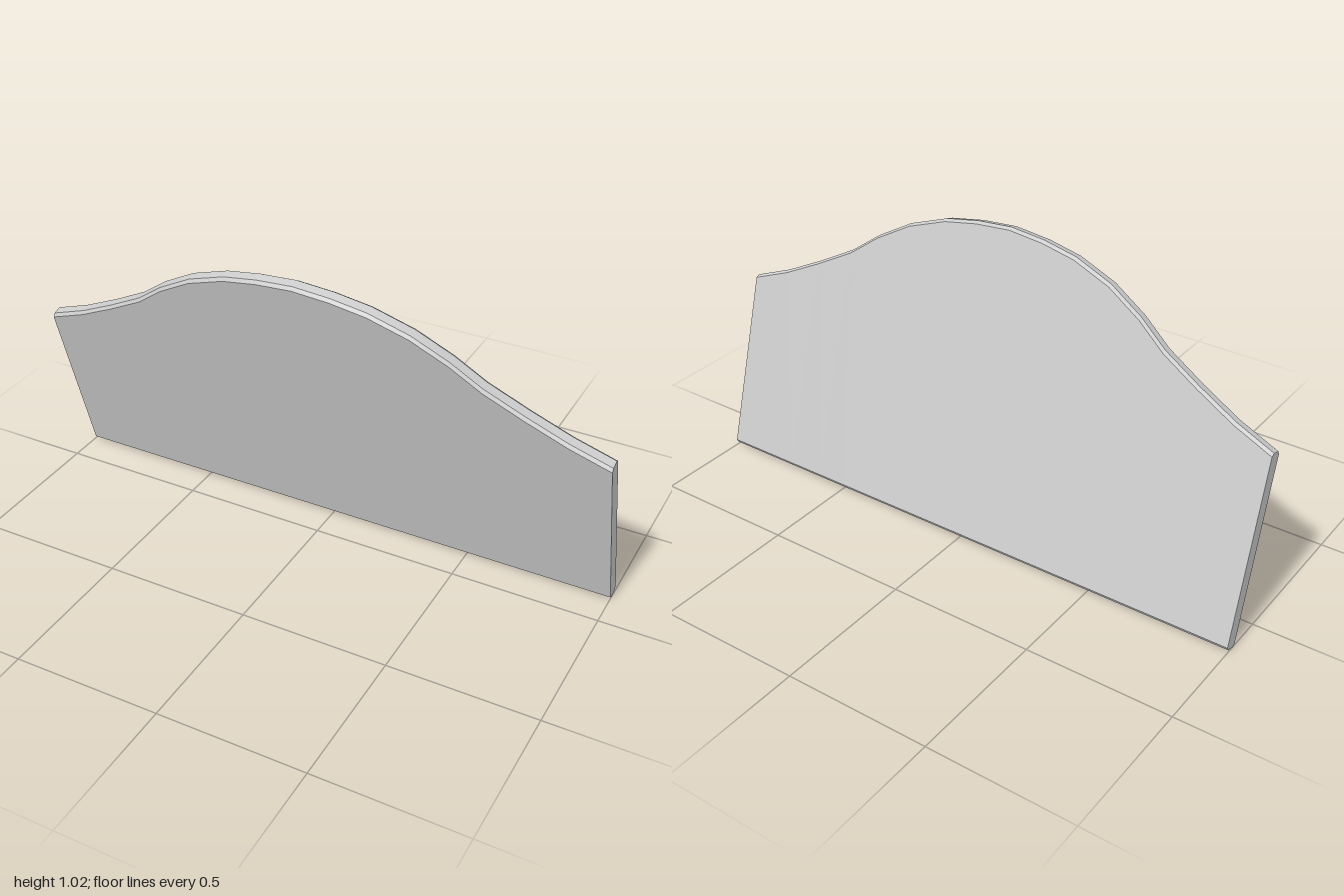
import * as THREE from 'three';
import { toCreasedNormals } from 'three/addons/utils/BufferGeometryUtils.js';

const TILT = Math.atan(0.29);   // forward lean of the slab
const HALF = 0.025;             // half thickness
const CHAMFER = 0.01;

// right half of the crest line: [x, height]
const CREST = [
  [0, 1.02], [0.125, 1.01], [0.245, 0.989], [0.38, 0.942], [0.5, 0.875],
  [0.6, 0.802], [0.73, 0.733], [0.865, 0.668], [1, 0.617],
];

// chamfered cross-section at x, in the plane of the untilted slab
function section(x, height) {
  const top = (height - 0.008) / Math.cos(TILT);
  const c = CHAMFER, h = HALF;
  return [
    [top, -h + c], [top, h - c], [top - c, h], [c, h],
    [0, h - c], [0, -h + c], [c, -h], [top - c, -h],
  ].map(([y, z]) => new THREE.Vector3(x, y, z));
}

// skin the cross-sections and close both ends
function loft(rings) {
  const n = rings[0].length, last = rings.length - 1;
  const points = rings.flat(), index = [];
  for (let i = 0; i < last; i++) {
    for (let j = 0; j < n; j++) {
      const k = (j + 1) % n;
      const a = i * n + j, b = i * n + k;
      index.push(a, b, b + n, a, b + n, a + n);
    }
  }
  for (let j = 1; j < n - 1; j++) {
    index.push(0, j + 1, j);
    index.push(last * n, last * n + j, last * n + j + 1);
  }
  const geometry = new THREE.BufferGeometry().setFromPoints(points);
  geometry.setIndex(index);
  return geometry;
}

export function createModel() {
  const group = new THREE.Group();
  group.name = 'archedPanel';

  // mirror the crest to get the full width
  const crest = [...CREST.slice(1).reverse().map(([x, y]) => [-x, y]), ...CREST];
  const geometry = loft(crest.map(([x, y]) => section(x, y)));

  // lean forward, then stand on the floor centred in depth
  geometry.rotateX(TILT);
  geometry.computeBoundingBox();
  const { min, max } = geometry.boundingBox;
  geometry.translate(0, -min.y, -(min.z + max.z) / 2);

  const panel = new THREE.Mesh(
    toCreasedNormals(geometry, 0.6),
    new THREE.MeshStandardMaterial({ color: 0xcccccc }),
  );
  panel.name = 'panel';
  group.add(panel);
  return group;
}
